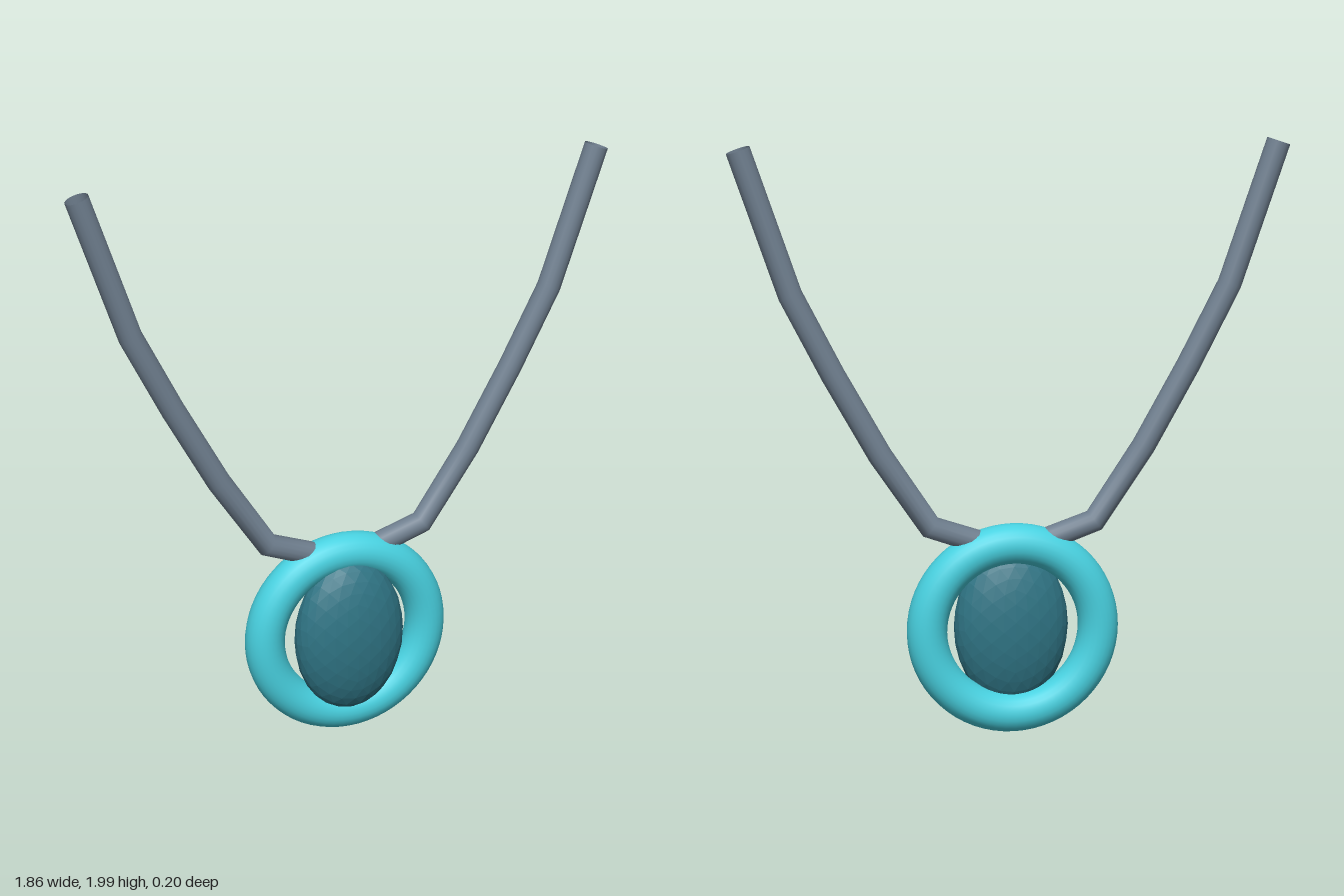
import * as THREE from 'three';

const MID_Z = -0.035;

// Tube that bends only at the given points
function bentTube(points, radius, sides) {
  const n = points.length - 1;
  const curve = new THREE.Curve();
  const index = (u) => Math.round(u * n);
  curve.getPointAt = (u, target = new THREE.Vector3()) => target.copy(points[index(u)]);
  curve.getTangentAt = (u, target = new THREE.Vector3()) => {
    const i = index(u);
    target.set(0, 0, 0);
    if (i > 0) target.add(points[i].clone().sub(points[i - 1]).normalize());
    if (i < n) target.add(points[i + 1].clone().sub(points[i]).normalize());
    return target.normalize();
  };
  return new THREE.TubeGeometry(curve, n, radius, sides, false);
}

export function createModel() {
  const model = new THREE.Group();
  model.name = 'pendantNecklace';

  const cordMaterial = new THREE.MeshStandardMaterial({ color: 0x708090, side: THREE.DoubleSide });
  const ringMaterial = new THREE.MeshStandardMaterial({ color: 0x48d1e0 });
  const gemMaterial = new THREE.MeshStandardMaterial({ color: 0x2f7484, flatShading: true });

  // Ring setting
  const ring = new THREE.Mesh(new THREE.TorusGeometry(0.292, 0.068, 24, 64), ringMaterial);
  ring.name = 'ring';
  ring.position.set(0, 0.365, MID_Z);
  model.add(ring);

  // Faceted oval gem, set slightly forward in the ring
  const gem = new THREE.Mesh(new THREE.IcosahedronGeometry(1, 4), gemMaterial);
  gem.name = 'gem';
  gem.scale.set(0.195, 0.275, 0.1);
  gem.position.set(0, 0.365, 0);
  model.add(gem);

  // Open-ended cords, one per side, ending inside the ring
  const path = [[0.08, 0.655], [0.278, 0.725], [0.445, 0.975], [0.597, 1.248], [0.733, 1.515], [0.893, 1.987]];
  for (const [name, side] of [['leftCord', 1], ['rightCord', -1]]) {
    const points = path.map(([x, y]) => new THREE.Vector3(side * x, y, MID_Z));
    const cord = new THREE.Mesh(bentTube(points, 0.04, 16), cordMaterial);
    cord.name = name;
    model.add(cord);
  }

  return model;
}
